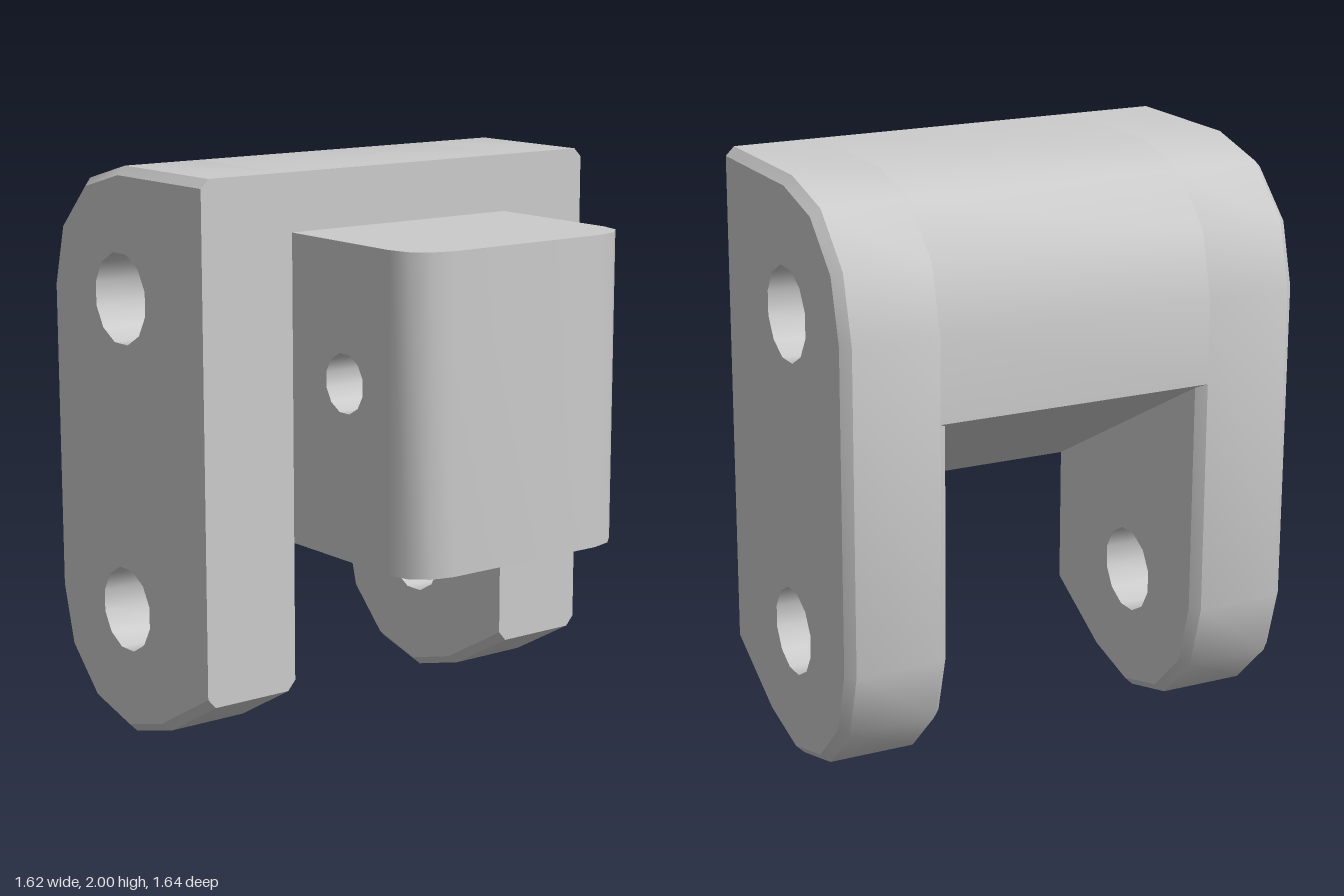
import * as THREE from 'three';
import { mergeGeometries, toCreasedNormals } from 'three/addons/utils/BufferGeometryUtils.js';

const CX = -0.36, TOP = 1.55, LOW = 0.455; // centres of the rounded ends
const EDGE = 0.14;                         // flat side of the bracket
const R = 0.45, CHAMFER = 0.03;

const material = new THREE.MeshStandardMaterial({ color: 0xcccccc });
const v = (x, y) => new THREE.Vector2(x, y);

// Points on a circle, angles in degrees
function arc(cx, cy, r, from, to, steps) {
  return Array.from({ length: steps + 1 }, (_, i) => {
    const a = THREE.MathUtils.degToRad(from + (to - from) * i / steps);
    return v(cx + r * Math.cos(a), cy + r * Math.sin(a));
  });
}

// Clockwise twelve-sided hole with a flat on top
const hole = (x, y, r) => arc(x, y, r / Math.cos(Math.PI / 12), 15, -315, 11);

// Wall through rings of equal point count, given as [z, points] with z increasing
function wall(layers) {
  const n = layers[0][1].length, position = [], index = [];
  for (const [z, pts] of layers) for (const p of pts) position.push(p.x, p.y, z);
  for (let k = 0; k < layers.length - 1; k++) {
    for (let j = 0; j < n; j++) {
      const a = k * n + j, b = k * n + (j + 1) % n;
      index.push(a, b, b + n, a, b + n, a + n);
    }
  }
  const g = new THREE.BufferGeometry();
  g.setAttribute('position', new THREE.Float32BufferAttribute(position, 3));
  g.setIndex(index);
  return g;
}

// Flat end face with holes
function cap([z, pts], holes, back) {
  const shape = new THREE.Shape(pts);
  shape.holes = holes.map(h => new THREE.Path(h));
  const g = new THREE.ShapeGeometry(shape).translate(0, 0, z);
  g.deleteAttribute('normal');
  g.deleteAttribute('uv');
  if (back) g.setIndex(Array.from(g.index.array).reverse());
  return g;
}

// Closed solid made of stacked outlines, with holes running straight through
function solid(name, layers, holes) {
  const first = layers[0], last = layers[layers.length - 1];
  const g = mergeGeometries([
    wall(layers),
    cap(first, holes, true),
    cap(last, holes, false),
    ...holes.map(h => wall([[first[0], h], [last[0], h]])),
  ]);
  const mesh = new THREE.Mesh(toCreasedNormals(g, 0.65), material);
  mesh.name = name;
  return mesh;
}

// Side plate outline: rounded top and bottom, sloping lower edge on the flat side
function plateOutline(r) {
  const slopeEnd = LOW - 0.866 * r + 0.56 * (EDGE - CX - 0.5 * r);
  return [
    v(EDGE, TOP + r),
    ...arc(CX, TOP, r, 90, 180, 3),
    ...arc(CX, LOW, r, 180, 300, 4),
    v(EDGE, slopeEnd),
  ];
}

export function createModel() {
  const group = new THREE.Group();
  group.name = 'hingeBracket';
  const upperHole = hole(CX, TOP, 0.155), lowerHole = hole(CX, LOW, 0.145);

  // Two chamfered side plates
  const outer = plateOutline(R), inner = plateOutline(R - CHAMFER);
  for (const [name, z0, z1] of [['frontPlate', 0.46, 0.82], ['backPlate', -0.82, -0.46]]) {
    group.add(solid(name, [
      [z0, inner], [z0 + CHAMFER, outer], [z1 - CHAMFER, outer], [z1, inner],
    ], [upperHole, lowerHole]));
  }

  // Bridge between the plates, with a sloping underside
  const bridge = [
    v(EDGE, 2),
    ...arc(CX, TOP, R, 90, 180, 3),
    v(-0.81, 1.26),
    v(EDGE, 0.74),
  ];
  group.add(solid('bridge', [[-0.49, bridge], [0.49, bridge]], [upperHole]));

  // Tongue with rounded vertical corners
  const rounding = [[0.46, 0.66], [0.44, 0.735], [0.385, 0.785], [0.31, 0.805]];
  const profile = x => [v(EDGE, 0.74), v(x, 0.74), v(x, 1.8), v(EDGE, 1.8)];
  const layers = [
    ...rounding.map(([z, x]) => [-z, profile(x)]),
    ...rounding.slice().reverse().map(([z, x]) => [z, profile(x)]),
  ];
  group.add(solid('tongue', layers, [hole(0.425, 1.335, 0.098)]));

  return group;
}
